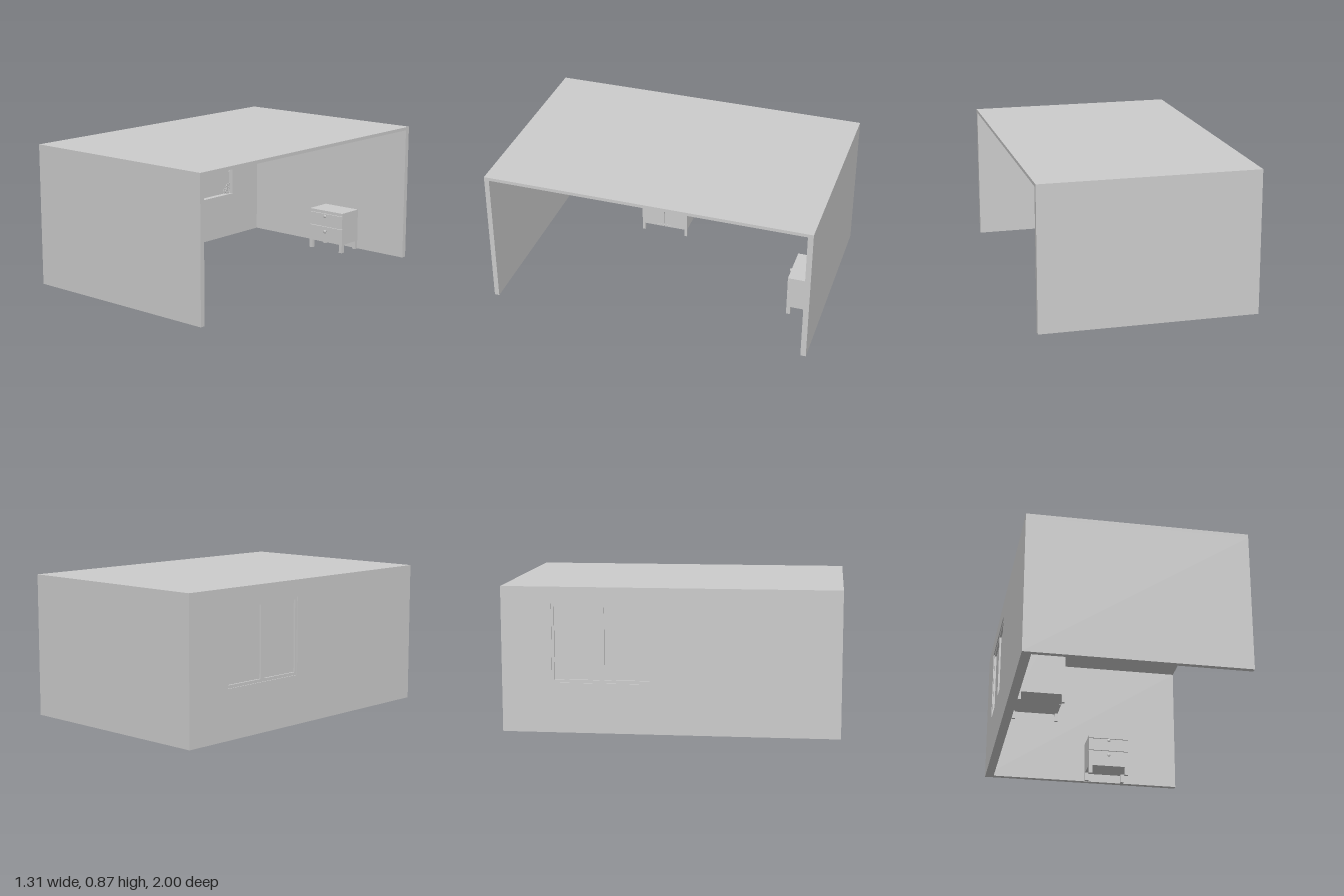
import * as THREE from 'three';

const grey = new THREE.MeshStandardMaterial({ color: 0xcccccc });

function add(parent, name, geometry) {
  const mesh = new THREE.Mesh(geometry, grey);
  mesh.name = name;
  parent.add(mesh);
  return mesh;
}

// Box given by its extents along each axis
function box(parent, name, x0, x1, y0, y1, z0, z1) {
  const mesh = add(parent, name, new THREE.BoxGeometry(x1 - x0, y1 - y0, z1 - z0));
  mesh.position.set((x0 + x1) / 2, (y0 + y1) / 2, (z0 + z1) / 2);
  return mesh;
}

function group(parent, name) {
  const g = new THREE.Group();
  g.name = name;
  parent.add(g);
  return g;
}

// Turned knob whose axis runs along +y from its foot
function knob(parent, r) {
  const profile = [[0, 0], [0.45, 0], [0.4, 0.5], [0.8, 0.7], [1, 1.05], [0.8, 1.4], [0, 1.55]]
    .map(([a, b]) => new THREE.Vector2(a * r, b * r));
  return add(parent, 'knob', new THREE.LatheGeometry(profile, 16));
}

// Four square legs under a rectangular footprint
function legs(parent, x0, x1, z0, z1, w, h) {
  for (const x of [x0, x1 - w]) for (const z of [z0, z1 - w])
    box(parent, 'leg', x, x + w, 0, h, z, z + w);
}

function rectangle(Type, a0, a1, b0, b1) {
  const s = new Type();
  s.moveTo(a0, b0).lineTo(a1, b0).lineTo(a1, b1).lineTo(a0, b1).closePath();
  return s;
}

// Shape drawn in z and y, extruded from x1 back towards -x
function panelWithHole(parent, name, outer, hole, x1, depth) {
  const shape = rectangle(THREE.Shape, ...outer);
  shape.holes.push(rectangle(THREE.Path, ...hole));
  const mesh = add(parent, name, new THREE.ExtrudeGeometry(shape, { depth, bevelEnabled: false }));
  mesh.rotation.y = -Math.PI / 2;
  mesh.position.x = x1;
}

function buildRoom(root) {
  const room = group(root, 'room');
  box(room, 'ceiling', -0.655, 0.655, 0.85, 0.87, -1, 1);
  box(room, 'frontWall', -0.655, 0.655, 0, 0.85, 0.97, 1);
  box(room, 'backWall', -0.655, 0.655, 0, 0.85, -1, -0.967);
  panelWithHole(room, 'windowWall', [-0.967, 0.97, 0, 0.85], [-0.7, -0.105, 0.3, 0.77], -0.6, 0.055);
}

function buildWindow(root) {
  const win = group(root, 'window');
  panelWithHole(win, 'innerFrame', [-0.705, -0.1, 0.285, 0.795], [-0.69, -0.11, 0.3, 0.745], -0.59, 0.03);
  box(win, 'glass', -0.637, -0.63, 0.3, 0.77, -0.7, -0.105);
  // Pair of sashes on the outside
  for (const [z0, z1] of [[-0.7, -0.4025], [-0.4025, -0.105]])
    panelWithHole(win, 'sash', [z0, z1, 0.3, 0.77], [z0 + 0.015, z1 - 0.015, 0.318, 0.752], -0.637, 0.012);

  // Raised blind with its stack of slats
  const blind = group(win, 'blind');
  for (let i = 0; i < 6; i++) {
    const slat = box(blind, 'slat', -0.622, -0.594, 0, 0.003, -0.688, -0.112);
    slat.position.y = 0.733 - i * 0.0125;
    slat.rotation.z = 0.15;
  }
  box(blind, 'bottomRail', -0.62, -0.596, 0.66, 0.668, -0.688, -0.112);
  const cord = add(blind, 'pullCord', new THREE.CylinderGeometry(0.0015, 0.0015, 0.27, 6));
  cord.position.set(-0.594, 0.61, -0.66);
  const tassel = add(blind, 'tassel', new THREE.CylinderGeometry(0.002, 0.005, 0.02, 8));
  tassel.position.set(-0.594, 0.468, -0.66);

  // Loose loops of cord gathered on the sill
  const points = [];
  for (let i = 0; i <= 70; i++) {
    const t = i / 70, a = t * Math.PI * 14;
    points.push(new THREE.Vector3(
      -0.607 + 0.008 * Math.sin(a * 0.7),
      0.303 + (0.025 + 0.055 * t) * (0.5 + 0.5 * Math.sin(a)),
      -0.625 - 0.05 * t + 0.012 * Math.cos(a)));
  }
  add(blind, 'cordLoops', new THREE.TubeGeometry(new THREE.CatmullRomCurve3(points), 220, 0.0018, 5));
}

function buildWardrobe(root) {
  const w = group(root, 'wardrobe');
  box(w, 'body', -0.597, -0.33, 0.05, 0.62, 0.04, 0.35);
  legs(w, -0.597, -0.318, 0.04, 0.35, 0.018, 0.05);
  // Doors meet at a narrow gap
  for (const s of [-1, 1]) {
    const z0 = 0.195 + s * 0.003, z1 = 0.195 + s * 0.155;
    box(w, 'door', -0.33, -0.318, 0.05, 0.62, Math.min(z0, z1), Math.max(z0, z1));
    const k = knob(w, 0.013);
    k.rotation.z = -Math.PI / 2;
    k.position.set(-0.318, 0.335, 0.197 + s * 0.027);
  }
  box(w, 'topCatch', -0.33, -0.316, 0.606, 0.611, 0.18, 0.21);
  box(w, 'bottomCatch', -0.33, -0.316, 0.06, 0.066, 0.145, 0.245);
}

function buildNightstand(root) {
  const n = group(root, 'nightstand');
  box(n, 'body', 0.02, 0.29, 0.055, 0.252, -0.965, -0.8);
  box(n, 'top', 0.02, 0.29, 0.252, 0.27, -0.965, -0.79);
  legs(n, 0.02, 0.29, -0.962, -0.79, 0.024, 0.055);
  for (const [y0, y1, ky] of [[0.165, 0.248, 0.235], [0.055, 0.159, 0.13]]) {
    box(n, 'drawerFront', 0.02, 0.29, y0, y1, -0.8, -0.79);
    const k = knob(n, 0.012);
    k.rotation.x = Math.PI / 2;
    k.position.set(0.155, ky, -0.79);
  }
}

export function createModel() {
  const root = new THREE.Group();
  root.name = 'bedroom';
  buildRoom(root);
  buildWindow(root);
  buildWardrobe(root);
  buildNightstand(root);
  return root;
}
